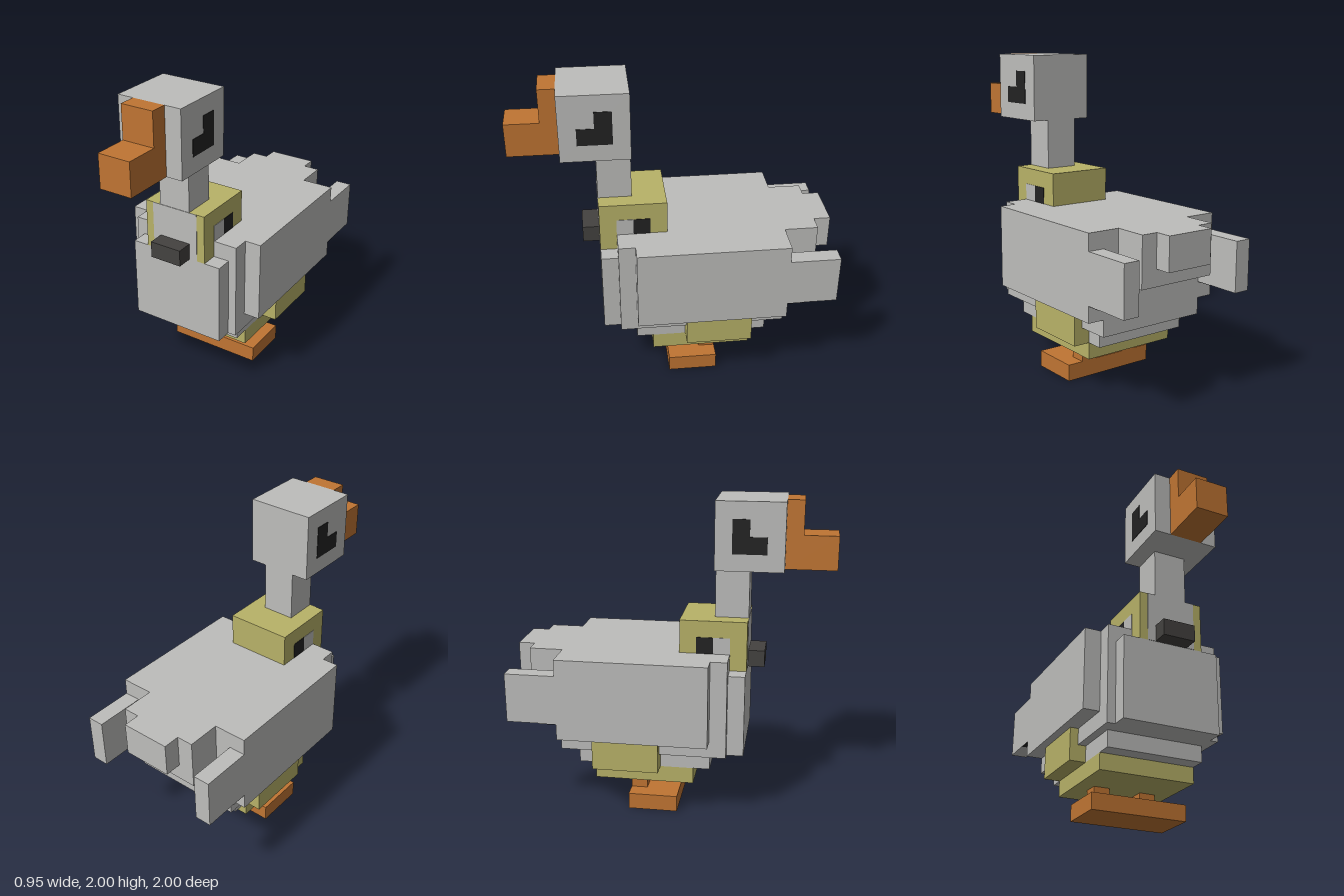
import * as THREE from 'three';

const U = 2 / 19; // one block

const mat = (name, color) => {
  const m = new THREE.MeshStandardMaterial({ color });
  m.name = name;
  return m;
};

export function createModel() {
  const grey = mat('feather grey', 0xbdbdbb);
  const khaki = mat('khaki', 0xb8b268);
  const orange = mat('beak orange', 0xc07533);
  const black = mat('eye black', 0x222222);
  const charcoal = mat('charcoal', 0x444240);

  const group = new THREE.Group();
  group.name = 'bird';

  // Box between two corners, measured in blocks
  function box(name, material, [x0, x1], [y0, y1], [z0, z1]) {
    const mesh = new THREE.Mesh(
      new THREE.BoxGeometry((x1 - x0) * U, (y1 - y0) * U, (z1 - z0) * U), material);
    mesh.position.set((x0 + x1) * U / 2, (y0 + y1) * U / 2, (z0 + z1) * U / 2);
    mesh.name = name;
    group.add(mesh);
  }
  // Box centred on x, given its half width
  const mid = (name, material, w, y, z) => box(name, material, [-w, w], y, z);
  // Mirrored pair of boxes
  function pair(name, material, [x0, x1], y, z) {
    box(name + 'Left', material, [x0, x1], y, z);
    box(name + 'Right', material, [-x1, -x0], y, z);
  }

  // Head, beak and neck
  mid('head', grey, 2, [15, 19], [2.5, 6.5]);
  mid('beak', orange, 1, [15, 17], [6.5, 9.5]);
  mid('beakTop', orange, 1, [17, 19], [6.5, 7.5]);
  mid('neck', grey, 1, [12, 15], [2.5, 4.5]);
  pair('eye', black, [2, 2.03], [16, 18], [3.5, 4.5]);
  pair('eyeCorner', black, [2, 2.03], [16, 17], [4.5, 5.5]);

  // Collar with bib, side patches and knob
  mid('collar', khaki, 2, [9, 12], [0.5, 4.5]);
  mid('bib', grey, 1.5, [9, 12], [4.5, 4.53]);
  pair('collarLightPatch', grey, [2, 2.03], [10, 11], [2.5, 3.5]);
  pair('collarDarkPatch', black, [2, 2.03], [10, 11], [1.5, 2.5]);
  mid('knob', charcoal, 1, [9, 10], [4.5, 5.5]);

  // Body
  mid('chest', grey, 3, [4, 9], [3.5, 4.5]);
  mid('body', grey, 3.5, [4, 10], [-6.5, 3.5]);
  mid('belly', grey, 3, [3, 4], [-5.5, 2.5]);
  mid('underbelly', khaki, 3, [2, 3], [-4.5, 1.5]);
  pair('thigh', khaki, [3, 4], [3, 5], [-4.5, -0.5]);

  // Wings
  pair('wing', grey, [3.5, 4.5], [5, 10], [-6.5, 2.5]);
  pair('wingTip', grey, [3.5, 4.5], [6, 9], [-9.5, -6.5]);
  pair('wingTipSpot', black, [3.5, 4.5], [5.97, 6], [-7.5, -6.5]);

  // Tail
  mid('tail', grey, 2.5, [7, 10], [-8.5, -6.5]);
  mid('tailEnd', grey, 1.5, [8, 10], [-9.5, -8.5]);

  // Legs and feet
  pair('leg', orange, [1, 2], [1, 2], [-2.5, -1.5]);
  mid('feet', orange, 3, [0, 1], [-2.5, 0.5]);

  return group;
}
